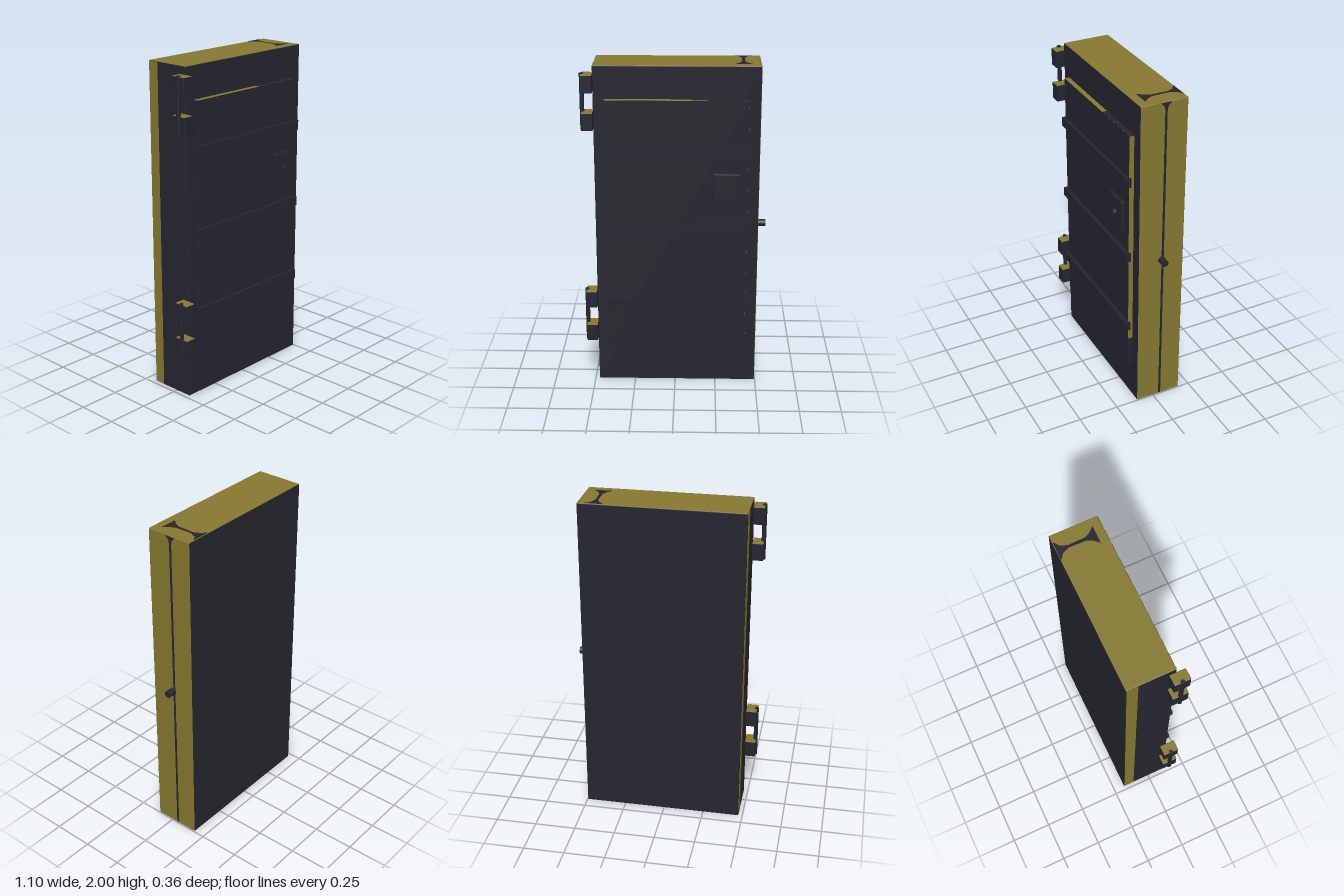
import * as THREE from 'three';
import { RoundedBoxGeometry } from 'three/addons/geometries/RoundedBoxGeometry.js';

const dark = new THREE.MeshStandardMaterial({ color: 0x25252f });
dark.name = 'darkSteel';
const brass = new THREE.MeshStandardMaterial({ color: 0x857830 });
brass.name = 'brass';

export function createModel() {
  const model = new THREE.Group();
  model.name = 'vaultDoor';

  const add = (name, geometry, material, parent = model) => {
    const mesh = new THREE.Mesh(geometry, material);
    mesh.name = name;
    parent.add(mesh);
    return mesh;
  };
  // Box given by its limits; a radius rounds its edges
  const box = (name, [x0, x1], [y0, y1], [z0, z1], material, radius = 0, parent = model) => {
    const size = [x1 - x0, y1 - y0, z1 - z0];
    const geometry = radius ? new RoundedBoxGeometry(...size, 2, radius) : new THREE.BoxGeometry(...size);
    const mesh = add(name, geometry, material, parent);
    mesh.position.set((x0 + x1) / 2, (y0 + y1) / 2, (z0 + z1) / 2);
    return mesh;
  };
  const flat = (points) => new THREE.ShapeGeometry(new THREE.Shape(points.map(([x, y]) => new THREE.Vector2(x, y))));

  // Door slab: dark front, back and hinge side, brass edges (+x, -x, +y, -y, +z, -z)
  box('doorSlab', [-0.475, 0.497], [0, 2], [-0.18, 0.11], [brass, dark, brass, brass, dark, dark], 0.006);
  box('hingeSideStrip', [-0.4765, -0.474], [0.004, 1.996], [-0.176, -0.11], brass);

  // Seam down the latch edge, flaring at the top
  box('edgeSeam', [0.495, 0.498], [0.004, 1.96], [-0.052, -0.038], dark);
  const flare = add('seamFlare', flat([[0.038, 1.95], [0.052, 1.95], [0.058, 1.975], [0.078, 1.996], [0.01, 1.996], [0.032, 1.975]]), dark);
  flare.rotation.y = Math.PI / 2;
  flare.position.x = 0.498;

  // Hourglass mark across the top edge
  const mark = add('topMark', flat([
    [0.34, -0.058], [0.45, -0.058], [0.42, -0.025], [0.405, 0.01], [0.403, 0.11], [0.42, 0.15], [0.455, 0.176],
    [0.335, 0.176], [0.37, 0.15], [0.387, 0.11], [0.385, 0.01], [0.37, -0.025],
  ]), dark);
  mark.rotation.x = -Math.PI / 2;
  mark.position.y = 2.001;

  // Raised panel with partly darkened edges
  box('raisedPanel', [-0.41, 0.428], [0.25, 1.805], [0.108, 0.14], [brass, dark, brass, brass, dark, dark], 0.002);
  box('panelTopShade', [0.1, 0.429], [1.803, 1.8065], [0.11, 0.139], dark);
  box('panelSideShade', [0.426, 0.4295], [0.25, 0.44], [0.11, 0.139], dark);

  // Cross bars
  for (const y of [0.54, 1.03, 1.52]) {
    box('crossBar', [-0.42, 0.44], [y - 0.028, y + 0.028], [0.13, 0.16], dark);
  }

  // Lock plate with its knob
  box('lockPlate', [0.225, 0.38], [1.175, 1.37], [0.138, 0.163], dark, 0.004);
  const knob = add('lockKnob', new THREE.CylinderGeometry(0.021, 0.021, 0.025, 24), dark);
  knob.rotation.x = Math.PI / 2;
  knob.position.set(0.303, 1.272, 0.1685);

  // Latch bolt
  const bolt = add('latchBolt', new THREE.CylinderGeometry(0.021, 0.021, 0.06, 24), dark);
  bolt.rotation.z = Math.PI / 2;
  bolt.position.set(0.517, 1, -0.037);

  // Two hinges, each with two blocks on a pin
  for (const y of [0.29, 1.627]) {
    const hinge = new THREE.Group();
    hinge.name = 'hinge';
    model.add(hinge);
    for (const offset of [0, 0.22]) {
      box('hingeBlock', [-0.541, -0.473], [y + offset, y + offset + 0.107], [0.066, 0.163],
        [dark, dark, brass, brass, dark, dark], 0.005, hinge);
    }
    const pin = add('hingePin', new THREE.CylinderGeometry(0.013, 0.013, 0.335, 20), dark, hinge);
    pin.position.set(-0.536, y + 0.1635, 0.115);
  }

  return model;
}
